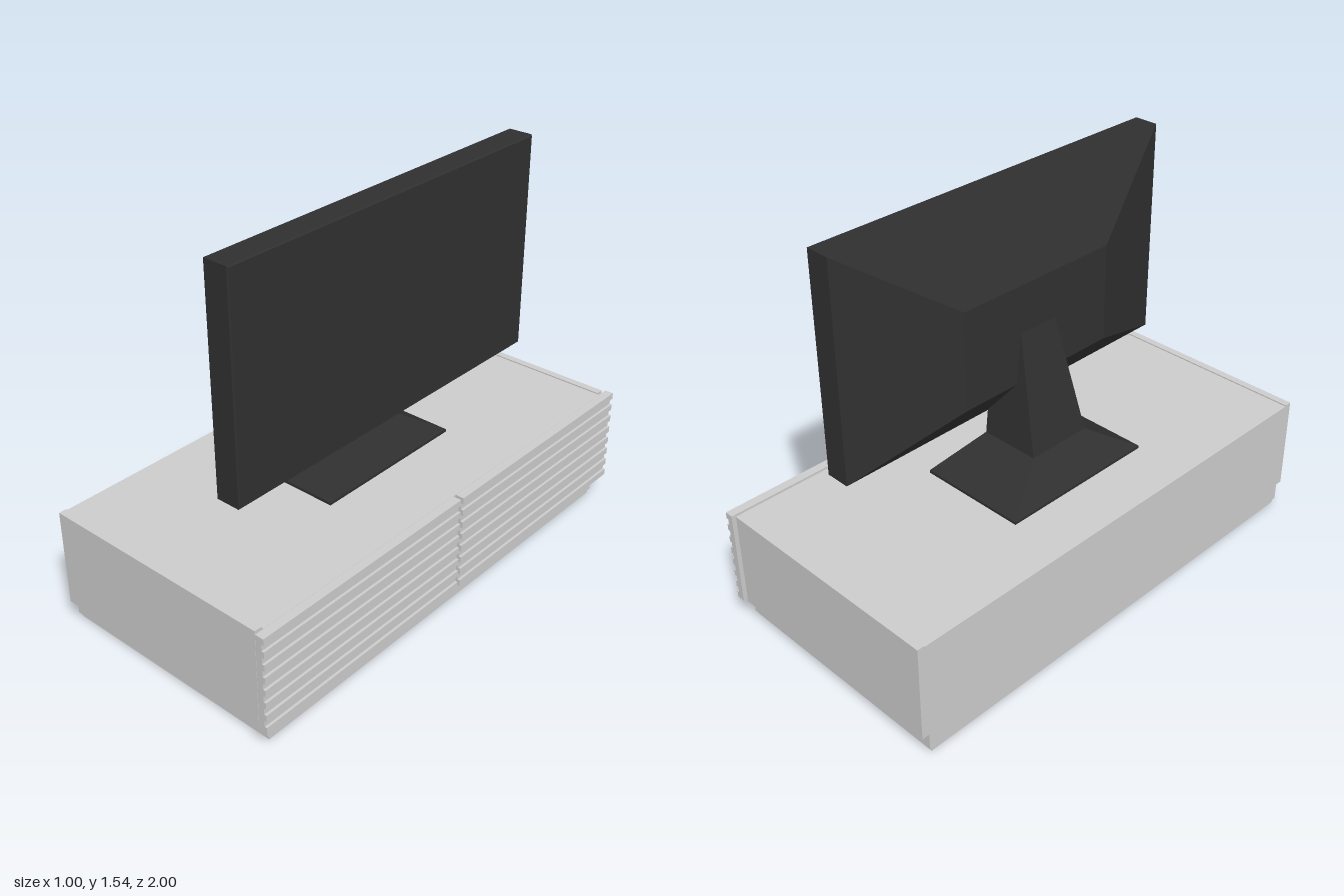
import * as THREE from 'three';

const grey = new THREE.MeshStandardMaterial({ color: 0xcccccc });
const black = new THREE.MeshStandardMaterial({ color: 0x303030 });

// Box given by its limits on each axis
function box(name, [x0, x1], [y0, y1], [z0, z1], material = grey) {
  const mesh = new THREE.Mesh(new THREE.BoxGeometry(x1 - x0, y1 - y0, z1 - z0), material);
  mesh.position.set((x0 + x1) / 2, (y0 + y1) / 2, (z0 + z1) / 2);
  mesh.name = name;
  return mesh;
}

// Flat-sided solid through rectangular sections [t, a0, a1, b0, b1].
// Along y: a is x and b is z. Along x: a is z and b is y.
function loft(name, axis, sections, material) {
  const place = (a, t, b) => (axis === 'y' ? [a, t, b] : [t, b, a]);
  const rings = sections.map(([t, a0, a1, b0, b1]) => [
    place(a0, t, b1), place(a1, t, b1), place(a1, t, b0), place(a0, t, b0),
  ]);
  const positions = [];
  const quad = (p, q, r, s) => positions.push(...p, ...q, ...r, ...p, ...r, ...s);
  for (let i = 0; i < rings.length - 1; i++) {
    for (let k = 0; k < 4; k++) {
      const n = (k + 1) % 4;
      quad(rings[i][k], rings[i][n], rings[i + 1][n], rings[i + 1][k]);
    }
  }
  quad(...[...rings[0]].reverse());
  quad(...rings[rings.length - 1]);
  const geometry = new THREE.BufferGeometry();
  geometry.setAttribute('position', new THREE.Float32BufferAttribute(positions, 3));
  geometry.computeVertexNormals();
  const mesh = new THREE.Mesh(geometry, material);
  mesh.name = name;
  return mesh;
}

// Door with horizontal ribs, extruded along z
function ribbedDoor(name, z0, z1) {
  const back = 0.465, groove = 0.49, front = 0.5, bottom = 0.087, top = 0.475;
  const count = 15, step = (top - bottom) / count;
  const shape = new THREE.Shape();
  shape.moveTo(back, bottom);
  for (let i = 0; i < count; i++) {
    const x = i % 2 ? groove : front;
    shape.lineTo(x, bottom + i * step);
    shape.lineTo(x, bottom + (i + 1) * step);
  }
  shape.lineTo(back, top);
  shape.closePath();
  const geometry = new THREE.ExtrudeGeometry(shape, { depth: z1 - z0, bevelEnabled: false });
  const mesh = new THREE.Mesh(geometry, grey);
  mesh.position.z = z0;
  mesh.name = name;
  return mesh;
}

export function createModel() {
  const model = new THREE.Group();
  model.name = 'televisionOnCabinet';

  // Cabinet
  const cabinet = new THREE.Group();
  cabinet.name = 'cabinet';
  cabinet.add(
    box('plinth', [-0.5, 0.455], [0, 0.018], [-0.95, 0.95]),
    box('cabinetBase', [-0.505, 0.46], [0.018, 0.087], [-0.96, 0.96]),
    box('cabinetBody', [-0.505, 0.46], [0.087, 0.47], [-0.96, 0.96]),
    box('leftSidePanel', [-0.505, 0.453], [0.087, 0.475], [-0.99, -0.96]),
    box('rightSidePanel', [-0.505, 0.453], [0.087, 0.475], [0.96, 0.99]),
    ribbedDoor('leftDoor', -1, -0.007),
    ribbedDoor('rightDoor', 0.007, 1),
  );

  // Television, its screen facing the same way as the doors
  const television = new THREE.Group();
  television.name = 'television';
  television.add(
    box('standPlate', [-0.275, 0.17], [0.47, 0.481], [-0.33, 0.33], black),
    loft('stand', 'y', [
      [0.481, -0.275, 0.17, -0.33, 0.33],
      [0.605, -0.173, 0.07, -0.135, 0.135],
      [1.055, -0.062, 0.07, -0.085, 0.085],
    ], black),
    loft('screenHousing', 'x', [
      [-0.063, -0.35, 0.35, 0.855, 1.24],
      [0.08, -0.775, 0.775, 0.687, 1.543],
      [0.177, -0.775, 0.775, 0.687, 1.543],
      [0.182, -0.77, 0.77, 0.692, 1.538],
    ], black),
  );

  model.add(cabinet, television);
  return model;
}
